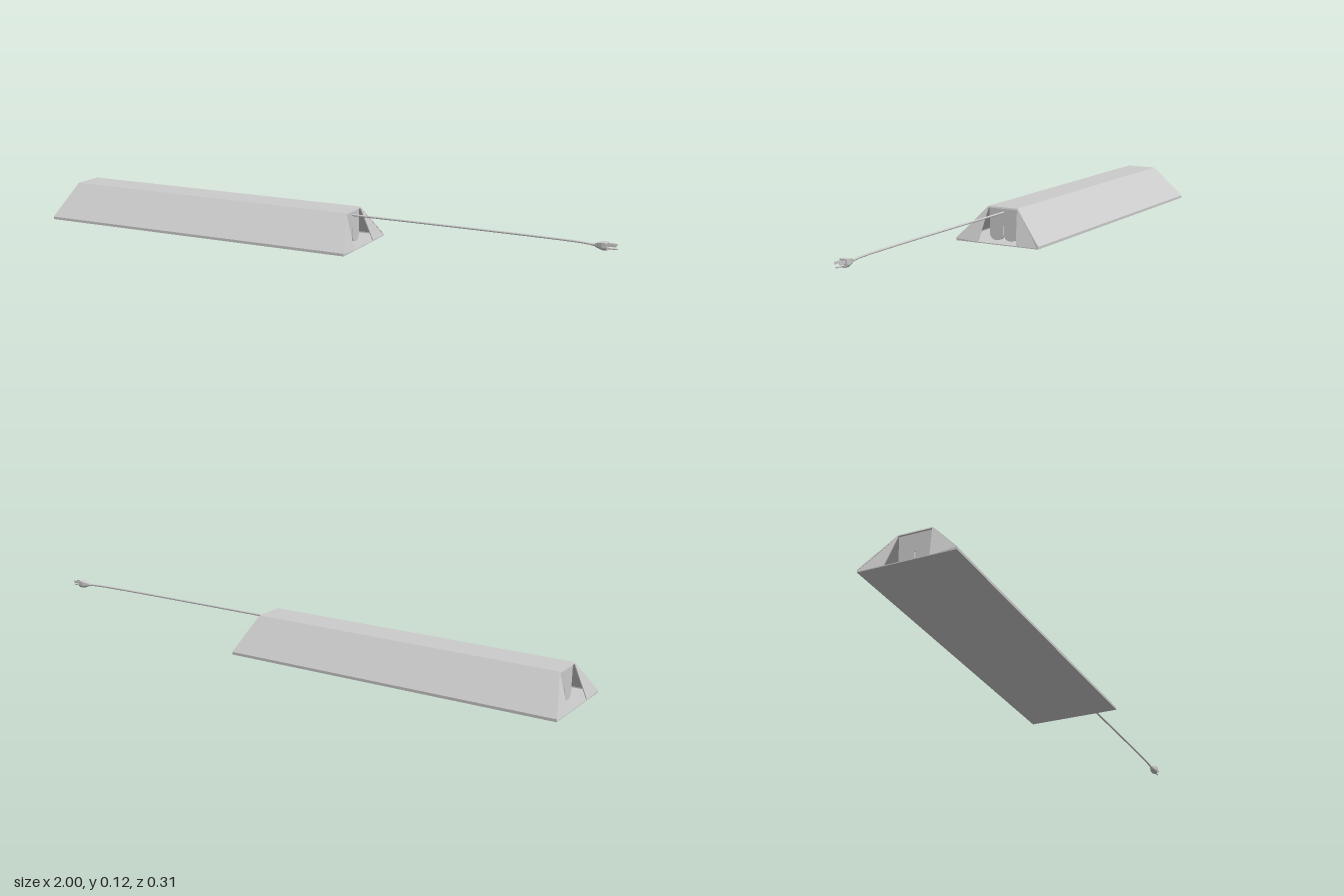
import * as THREE from 'three';

const material = new THREE.MeshStandardMaterial({ color: 0xcccccc, side: THREE.DoubleSide });

// Hood ends lean inward above the short vertical lip.
const HEIGHT = 0.118, LIP = 0.009;
const lean = y => 0.041 * Math.max(0, y - LIP) / (HEIGHT - LIP);
const endRight = y => 0.156 - lean(y);
const endLeft = y => -1 + lean(y);

function add(parent, name, geometry) {
  const mesh = new THREE.Mesh(geometry, material);
  mesh.name = name;
  parent.add(mesh);
  return mesh;
}

const outline = points => new THREE.Shape(points.map(([z, y]) => new THREE.Vector2(-z, y)));

// Extrudes a z-y outline along x; from and to give the end positions by height.
function prism(shape, from, to) {
  const geometry = new THREE.ExtrudeGeometry(shape, { depth: 1, bevelEnabled: false, curveSegments: 12 });
  geometry.rotateY(Math.PI / 2);
  const p = geometry.attributes.position;
  for (let i = 0; i < p.count; i++) {
    const y = p.getY(i);
    p.setX(i, THREE.MathUtils.lerp(from(y), to(y), p.getX(i)));
  }
  geometry.computeVertexNormals();
  return geometry;
}

function rod(radius, x0, x1, y, z, radiusEnd = radius, sides = 16) {
  const geometry = new THREE.CylinderGeometry(radiusEnd, radius, x1 - x0, sides);
  geometry.rotateZ(-Math.PI / 2);
  return geometry.translate((x0 + x1) / 2, y, z);
}

// Plate with two rounded lobes that hold the tubes.
function holderShape() {
  const s = new THREE.Shape();
  s.moveTo(-0.053, 0.112);
  s.lineTo(-0.051, 0.024);
  s.bezierCurveTo(-0.049, -0.001, -0.004, -0.001, -0.002, 0.024);
  s.lineTo(-0.002, 0.055);
  s.lineTo(0.002, 0.055);
  s.lineTo(0.002, 0.024);
  s.bezierCurveTo(0.004, -0.001, 0.049, -0.001, 0.051, 0.024);
  s.lineTo(0.053, 0.112);
  return s;
}

function buildHood() {
  const hood = new THREE.Group();
  hood.name = 'hood';

  // Folded shell: outer line one way, inner line back
  add(hood, 'reflectorShell', prism(outline([
    [0.155, 0], [0.155, LIP], [0.055, HEIGHT], [-0.055, HEIGHT], [-0.155, LIP], [-0.155, 0],
    [-0.152, 0], [-0.152, 0.007], [-0.053, 0.113], [0.053, 0.113], [0.152, 0.007], [0.152, 0]
  ]), endLeft, endRight));

  // Bottom panel
  add(hood, 'bottomPanel', prism(outline([
    [0.152, 0], [0.152, 0.003], [-0.152, 0.003], [-0.152, 0]
  ]), endLeft, endRight));

  // Corner flanges beside the open ends
  for (const side of [1, -1]) {
    const flange = outline([
      [0.153, 0.001], [0.153, 0.008], [0.055, 0.116], [0.054, 0.112], [0.072, 0.001]
    ].map(([z, y]) => [z * side, y]));
    add(hood, 'endFlange', prism(flange, y => endRight(y) - 0.003, endRight));
    add(hood, 'endFlange', prism(flange, endLeft, y => endLeft(y) + 0.003));
  }
  return hood;
}

function buildLamps() {
  const lamps = new THREE.Group();
  lamps.name = 'lamps';
  add(lamps, 'tubeHolder', prism(holderShape(), () => 0.1, () => 0.112));
  add(lamps, 'tubeHolder', prism(holderShape(), () => -0.956, () => -0.944));
  for (const z of [0.0265, -0.0265]) add(lamps, 'lampTube', rod(0.018, -0.944, 0.1, 0.03, z));
  return lamps;
}

function buildPlug() {
  const plug = new THREE.Group();
  plug.name = 'plug';

  // Body: flat top, rounded bottom
  const face = new THREE.Shape();
  face.moveTo(-0.013, 0.011);
  face.lineTo(-0.013, -0.004);
  face.bezierCurveTo(-0.011, -0.018, 0.011, -0.018, 0.013, -0.004);
  face.lineTo(0.013, 0.011);
  add(plug, 'plugFace', prism(face, () => 0.952, () => 0.968));

  // Grip narrowing toward the cord
  const grip = prism(face, () => 0.93, () => 0.952);
  const p = grip.attributes.position;
  for (let i = 0; i < p.count; i++) {
    if (p.getX(i) < 0.94) {
      p.setY(i, p.getY(i) * 0.45);
      p.setZ(i, p.getZ(i) * 0.45);
    }
  }
  grip.computeVertexNormals();
  add(plug, 'plugGrip', grip);
  add(plug, 'strainRelief', rod(0.0035, 0.915, 0.932, 0, 0, 0.005, 12));

  // Two blades and the round earth pin
  for (const z of [0.007, -0.007]) {
    add(plug, 'blade', new THREE.BoxGeometry(0.03, 0.008, 0.002).translate(0.981, 0.004, z));
  }
  add(plug, 'earthPin', rod(0.003, 0.966, 1, -0.007, 0, 0.0025, 12));
  plug.position.y = 0.094;
  return plug;
}

export function createModel() {
  const model = new THREE.Group();
  model.name = 'tubeLampWithCord';
  model.add(buildHood(), buildLamps(), buildPlug());

  // Power cord, dropping slightly into the plug
  const path = new THREE.CatmullRomCurve3([
    [0.105, 0.1], [0.4, 0.1], [0.75, 0.099], [0.88, 0.097], [0.925, 0.094]
  ].map(([x, y]) => new THREE.Vector3(x, y, 0)));
  add(model, 'powerCord', new THREE.TubeGeometry(path, 32, 0.0035, 10));
  return model;
}
